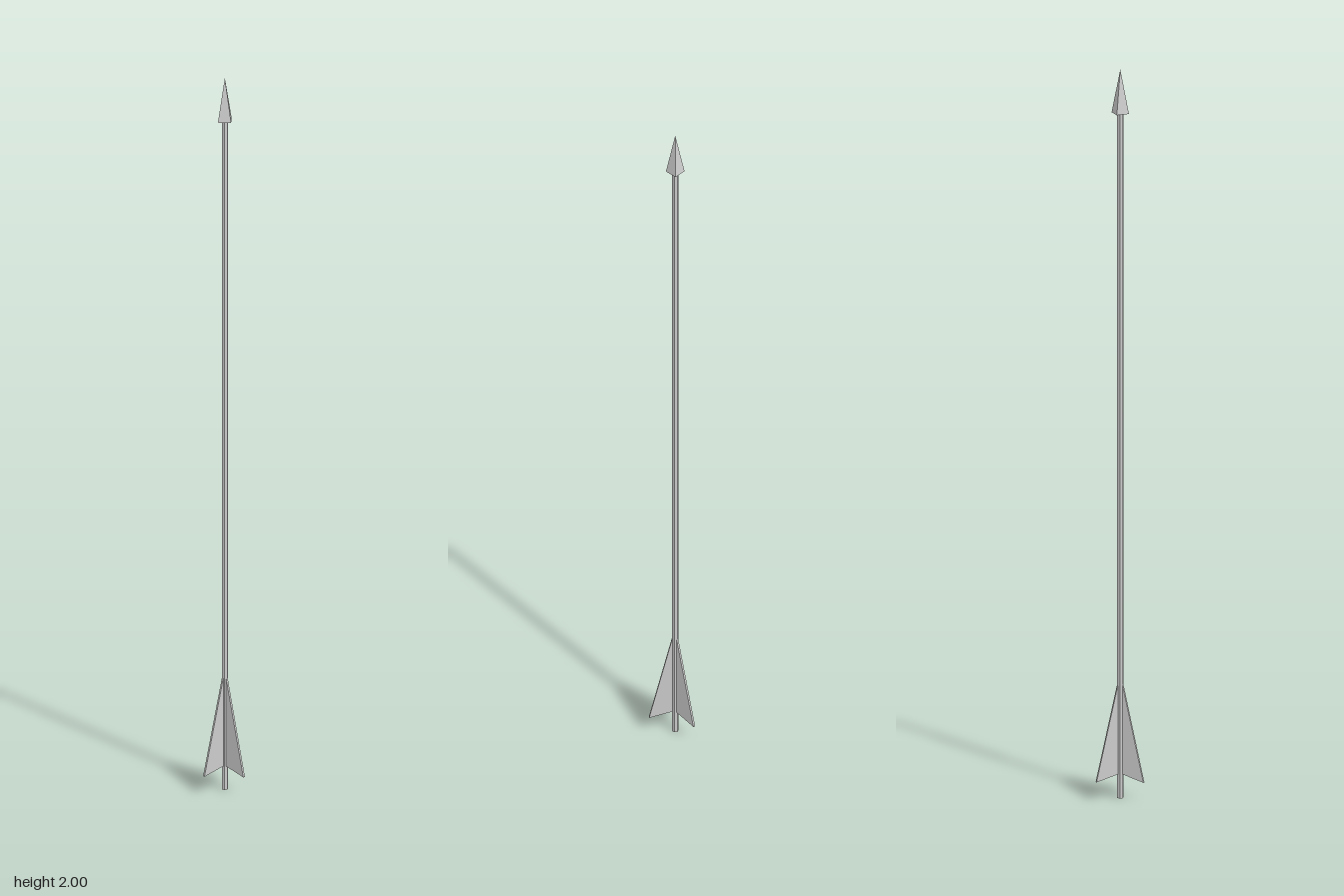
import * as THREE from 'three';

const AXIS_Z = 0.01; // the shaft runs slightly in front of centre

export function createModel() {
  const model = new THREE.Group();
  const material = new THREE.MeshStandardMaterial({ color: 0xcccccc, flatShading: true });

  const add = (name, geometry) => {
    const mesh = new THREE.Mesh(geometry, material);
    mesh.name = name;
    mesh.position.z = AXIS_Z;
    model.add(mesh);
    return mesh;
  };

  // Six-sided shaft
  add('shaft', new THREE.CylinderGeometry(0.009, 0.009, 1.89, 6).translate(0, 0.945, 0));

  // Four-sided pyramid head, flat sides facing the axes
  const head = new THREE.ConeGeometry(0.0175 * Math.SQRT2, 0.12, 4);
  add('arrowHead', head.rotateY(Math.PI / 4).translate(0, 1.94, 0));

  // Three swept fins: one to the back, two spread to the front
  const thickness = 0.006;
  const outline = new THREE.Shape([
    new THREE.Vector2(0, 0.068),
    new THREE.Vector2(0.07, 0.05),
    new THREE.Vector2(0, 0.345),
  ]);
  const finGeometry = new THREE.ExtrudeGeometry(outline, { depth: thickness, bevelEnabled: false });
  finGeometry.translate(0, 0, -thickness / 2);
  const fins = { backFin: 90, leftFin: -40, rightFin: -140 };
  for (const [name, angle] of Object.entries(fins)) {
    add(name, finGeometry).rotation.y = THREE.MathUtils.degToRad(angle);
  }

  return model;
}
